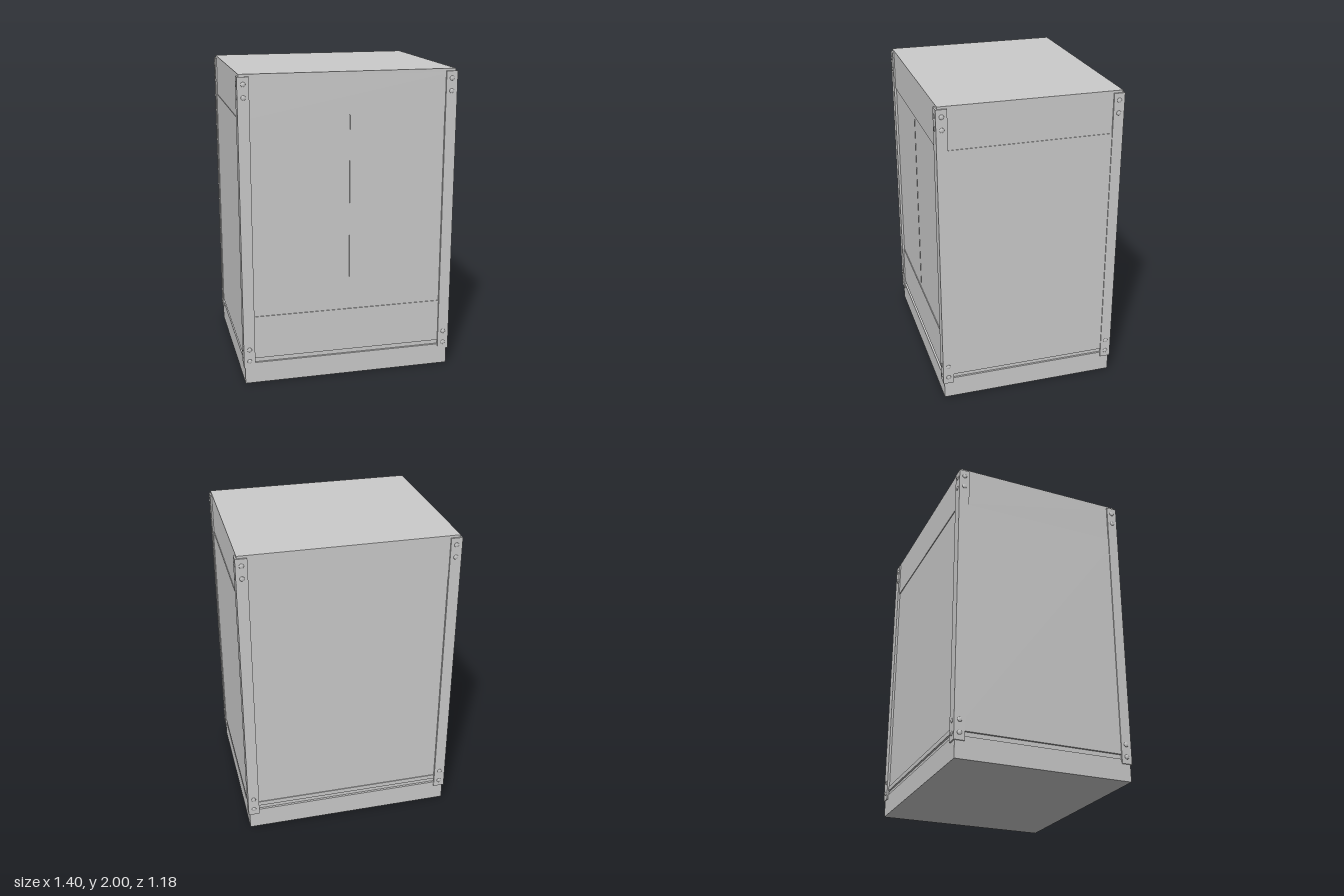
import * as THREE from 'three';

const material = new THREE.MeshStandardMaterial({ color: 0xcccccc });

export function createModel() {
  const group = new THREE.Group();

  function add(name, geometry, x = 0, y = 0, z = 0, parent = group) {
    const mesh = new THREE.Mesh(geometry, material);
    mesh.name = name;
    mesh.position.set(x, y, z);
    parent.add(mesh);
    return mesh;
  }
  // Box given by its bounds in x, y and z
  function box(name, x0, x1, y0, y1, z0, z1) {
    return add(name, new THREE.BoxGeometry(x1 - x0, y1 - y0, z1 - z0),
      (x0 + x1) / 2, (y0 + y1) / 2, (z0 + z1) / 2);
  }

  const X = 0.685, Z = 0.575, GAP = 0.17, DOOR_TOP = 1.73, DOOR_LOW = 0.455, DOOR_X = 0.622;

  // Plinth, recessed groove above it, inner body and roof
  box('plinth', -X - 0.002, X + 0.002, 0, 0.14, -Z - 0.002, Z + 0.002);
  box('innerBody', -X + 0.01, X - 0.01, 0.13, 1.99, -Z + 0.012, Z - 0.012);
  box('roof', -X, X, 1.98, 2, -Z, Z);

  // Face sheet with a rectangular opening, extruded outwards
  function frame(low) {
    const shape = new THREE.Shape([
      [-X, GAP], [X, GAP], [X, 1.98], [-X, 1.98],
    ].map(p => new THREE.Vector2(...p)));
    shape.holes.push(new THREE.Path([
      [-DOOR_X, low], [-DOOR_X, DOOR_TOP], [DOOR_X, DOOR_TOP], [DOOR_X, low],
    ].map(p => new THREE.Vector2(...p))));
    return new THREE.ExtrudeGeometry(shape, { depth: 0.012, bevelEnabled: false });
  }
  add('frontFrame', frame(DOOR_LOW), 0, 0, Z - 0.012);
  add('backFrame', frame(0.2), 0, 0, -Z + 0.012).rotation.y = Math.PI;
  box('backPanel', -DOOR_X, DOOR_X, 0.2, DOOR_TOP, -Z + 0.005, -Z + 0.012);

  // Double doors with a narrow slit and a sunken latch bar between them
  for (const s of [-1, 1]) {
    const a = s * 0.005, b = s * DOOR_X;
    box(s > 0 ? 'leftDoor' : 'rightDoor', Math.min(a, b), Math.max(a, b),
      DOOR_LOW, DOOR_TOP, Z - 0.012, Z - 0.005);
  }
  box('latchBar', -0.003, 0.003, 1.21, 1.5, Z - 0.012, Z - 0.008);

  // Side sheets: the lower panel stands slightly proud of the upper strip
  for (const s of [-1, 1]) {
    const sheet = (name, y0, y1, out) => {
      const a = s * (X - 0.01), b = s * out;
      box(name, Math.min(a, b), Math.max(a, b), y0, y1, -Z, Z);
    };
    sheet('sidePanel', GAP, DOOR_TOP, X + 0.004);
    sheet('sideUpperStrip', DOOR_TOP, 1.98, X);
  }

  // Corner angles with domed rivets on both flanges
  const PX = 0.695, PZ = 0.585, LOW = 0.11, HIGH = 1.985;
  const rivet = new THREE.SphereGeometry(0.015, 16, 6, 0, Math.PI * 2, 0, Math.PI / 2);
  rivet.scale(1, 0.35, 1);
  for (const sx of [-1, 1]) for (const sz of [-1, 1]) {
    const post = new THREE.Group();
    post.name = 'cornerPost';
    group.add(post);
    const outline = [
      [PX, PZ], [0.622, PZ], [0.622, Z - 0.003], [X - 0.002, Z - 0.003],
      [X - 0.002, 0.516], [PX, 0.516],
    ].map(([x, z]) => new THREE.Vector2(sx * x, -sz * z));
    const angle = new THREE.ExtrudeGeometry(new THREE.Shape(outline),
      { depth: HIGH - LOW, bevelEnabled: false });
    angle.rotateX(-Math.PI / 2);
    add('angleBar', angle, 0, LOW, 0, post);
    for (const y of [0.155, 0.235, 1.86, 1.94]) {
      add('rivet', rivet, sx * 0.658, y, sz * PZ, post).rotation.x = sz * Math.PI / 2;
      add('rivet', rivet, sx * PX, y, sz * 0.55, post).rotation.z = -sx * Math.PI / 2;
    }
  }
  return group;
}
